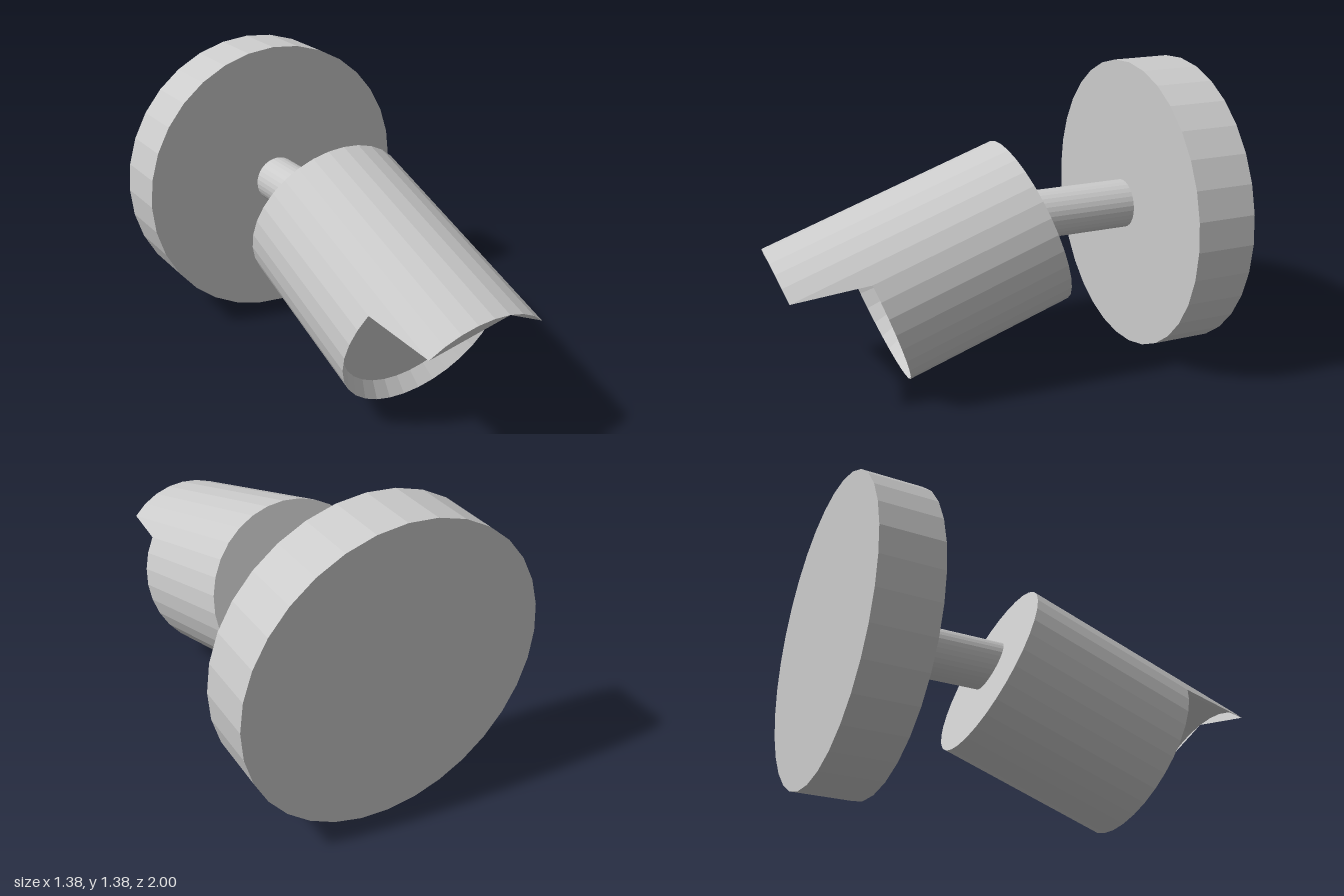
import * as THREE from 'three';

const SIDES = 32;
const STEP = (Math.PI * 2) / SIDES;
const grey = new THREE.MeshStandardMaterial({ color: 0xcccccc, flatShading: true });
const greyThin = new THREE.MeshStandardMaterial({ color: 0xcccccc, flatShading: true, side: THREE.DoubleSide });

// Can dimensions, measured along its own axis (local +z)
const R = 0.408, LENGTH = 0.816, VISOR = 1.154;
const INNER_R = 0.365, INNER_Z = 0.74;
const VISOR_STEPS = 4; // rim points drawn forward on each side of the top

// Point on a circle, counted in steps from the top
const rimPoint = (i, r, z) => [r * Math.sin(i * STEP), r * Math.cos(i * STEP), z];

// Cylinder lying along z
function zCylinder(name, radius, z0, z1, y) {
  const geo = new THREE.CylinderGeometry(radius, radius, z1 - z0, SIDES);
  geo.rotateX(Math.PI / 2);
  const mesh = new THREE.Mesh(geo, grey);
  mesh.name = name;
  mesh.position.set(0, y, (z0 + z1) / 2);
  return mesh;
}

// Closed can: back, wall with the top of the rim pulled out, bevel, recessed face
function canGeometry() {
  const frontZ = (i) => (Math.min(i, SIDES - i) <= VISOR_STEPS ? VISOR : LENGTH);
  const rings = [
    () => [0, 0, 0],
    (i) => rimPoint(i, R, 0),
    (i) => rimPoint(i, R, frontZ(i)),
    (i) => rimPoint(i, INNER_R, INNER_Z),
    () => [0, 0, INNER_Z],
  ];
  const pos = [];
  for (let k = 0; k < rings.length - 1; k++) {
    for (let i = 0; i < SIDES; i++) {
      const j = (i + 1) % SIDES;
      const a = rings[k](i), b = rings[k + 1](i), c = rings[k + 1](j), d = rings[k](j);
      if (k < rings.length - 2) pos.push(...a, ...b, ...c);
      else pos.push(...a, ...b, ...d);
      if (k > 0 && k < rings.length - 2) pos.push(...a, ...c, ...d);
    }
  }
  const geo = new THREE.BufferGeometry();
  geo.setAttribute('position', new THREE.Float32BufferAttribute(pos, 3));
  geo.computeVertexNormals();
  return geo;
}

// Flat sliver between the visor's arc and a chord
function visorLip(from, to) {
  const pts = [];
  for (let i = from; i <= to; i++) {
    const [x, y] = rimPoint(i, R, 0);
    pts.push(new THREE.Vector2(x, y));
  }
  const mesh = new THREE.Mesh(new THREE.ShapeGeometry(new THREE.Shape(pts)), greyThin);
  mesh.name = 'visorLip';
  mesh.position.z = VISOR;
  return mesh;
}

export function createModel() {
  const model = new THREE.Group();
  model.name = 'wallSpotlight';

  // Wall mount and arm
  model.add(zCylinder('wallPlate', 0.688, -1, -0.725, 0.69));
  model.add(zCylinder('arm', 0.115, -0.74, -0.12, 0.692));

  // Lamp head, tilted downwards
  const head = new THREE.Group();
  head.name = 'lampHead';
  const can = new THREE.Mesh(canGeometry(), grey);
  can.name = 'lampCan';
  head.add(can, visorLip(-VISOR_STEPS, 1), visorLip(1, VISOR_STEPS));
  head.position.set(0, 0.67, -0.225);
  head.rotation.x = 0.337;
  model.add(head);

  return model;
}
